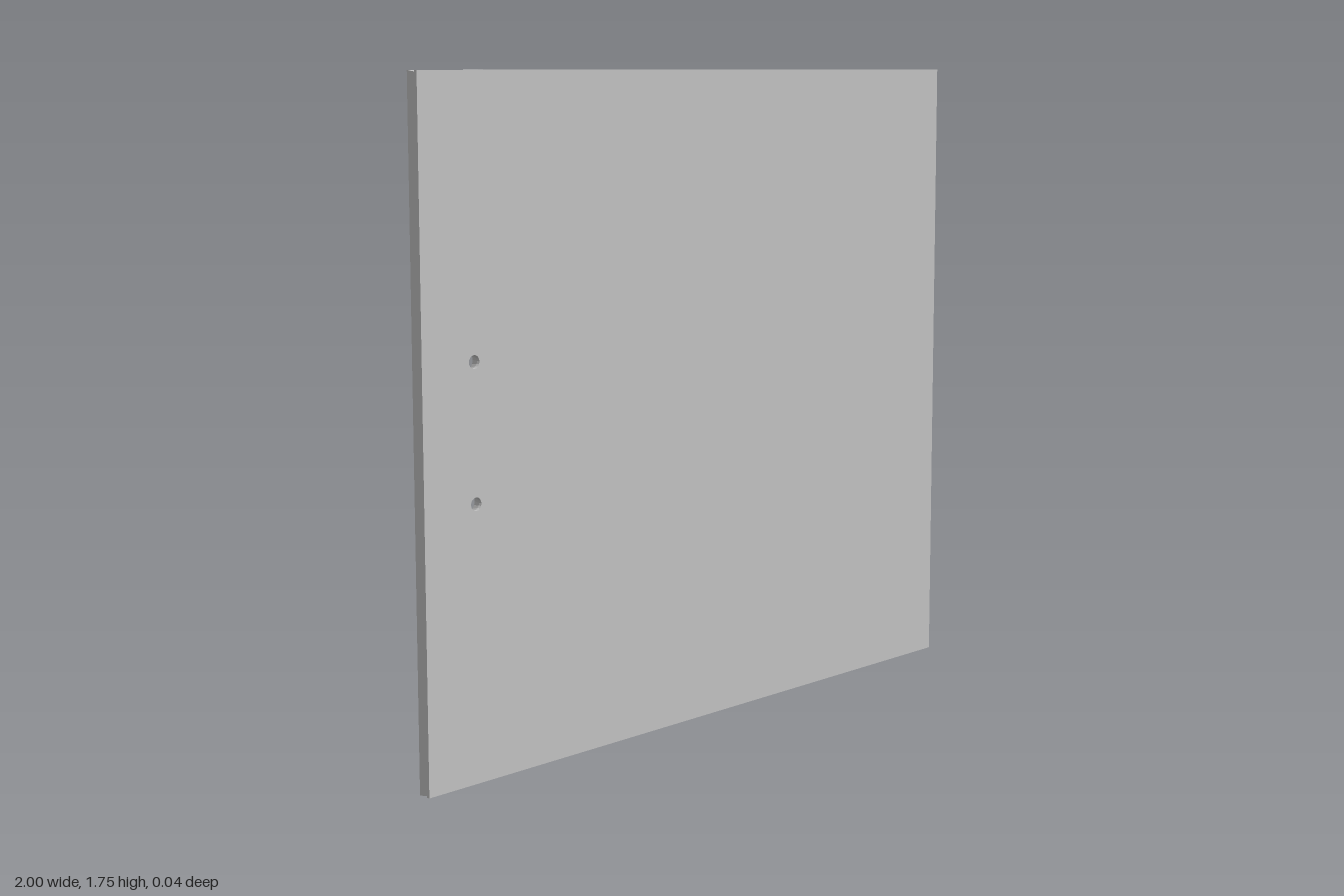
import * as THREE from 'three';

const H = 1.755, BACK = -0.0175, MID = 0.0085, FRONT = 0.0175;
const EDGE = 0.98; // where the slotted edge of the back layer ends
const POCKET = { x0: -0.765, x1: 0.852, y0: 0.02, y1: H - 0.02, cut: 0.045, inset: 0.033 };
const BOLTS = [0.705, 1.055].map(y => new THREE.Vector2(-0.835, y));

function rectPath(x, y, w, h) {
  return new THREE.Path([[-1, -1], [1, -1], [1, 1], [-1, 1]]
    .map(([a, b]) => new THREE.Vector2(x + a * w / 2, y + b * h / 2)));
}

function circlePath(c, r) {
  return new THREE.Path().absarc(c.x, c.y, r, 0, Math.PI * 2);
}

// Wide round top, narrow foot
function keyholePath(x, y) {
  const p = new THREE.Path();
  p.moveTo(x - 0.009, y - 0.04);
  p.lineTo(x + 0.009, y - 0.04);
  p.lineTo(x + 0.017, y + 0.015);
  p.absarc(x, y + 0.022, 0.017, 0, Math.PI);
  p.lineTo(x - 0.017, y + 0.015);
  p.closePath();
  return p;
}

function extrude(shape, z0, z1) {
  const g = new THREE.ExtrudeGeometry(shape, { depth: z1 - z0, bevelEnabled: false, curveSegments: 8 });
  return g.translate(0, 0, z0);
}

// Moves vertices by a rule and refreshes the flat normals
function reshape(geometry, rule) {
  const p = geometry.attributes.position, v = new THREE.Vector3();
  for (let i = 0; i < p.count; i++) {
    rule(v.fromBufferAttribute(p, i));
    p.setXYZ(i, v.x, v.y, v.z);
  }
  geometry.computeVertexNormals();
  return geometry;
}

export function createModel() {
  const group = new THREE.Group();
  const grey = new THREE.MeshStandardMaterial({ color: 0xc0c0c0 });
  grey.name = 'grey';
  const add = (name, geometry) => {
    const mesh = new THREE.Mesh(geometry, grey);
    mesh.name = name;
    group.add(mesh);
    return mesh;
  };
  const slots = Array.from({ length: 15 }, (_, i) => 0.102 + i * 0.1104);

  // Front plate with a slanted lip on the slotted side
  const face = new THREE.Shape([[-1, 0], [1, 0], [1, H], [-1, H]].map(a => new THREE.Vector2(...a)));
  face.holes.push(...BOLTS.map(b => circlePath(b, 0.017)));
  add('frontPlate', reshape(extrude(face, MID, FRONT), v => {
    if (v.x > 0.99 && v.z < 0.012) v.x = EDGE + 0.006;
  }));

  // Back layer outline with round-ended slots along one edge
  const r = 0.03, inner = 0.906;
  const frame = new THREE.Shape();
  frame.moveTo(-1, 0);
  frame.lineTo(EDGE, 0);
  for (const y of slots) {
    frame.lineTo(EDGE, y - r);
    frame.lineTo(inner + r, y - r);
    frame.absarc(inner + r, y, r, -Math.PI / 2, Math.PI / 2, true);
    frame.lineTo(EDGE, y + r);
  }
  frame.lineTo(EDGE, H);
  frame.lineTo(-1, H);
  frame.closePath();

  // Large pocket with clipped corners
  const { x0, x1, y0, y1, cut, inset } = POCKET;
  frame.holes.push(new THREE.Path([
    [x0 + cut, y0], [x1 - cut, y0], [x1, y0 + cut], [x1, y1 - cut],
    [x1 - cut, y1], [x0 + cut, y1], [x0, y1 - cut], [x0, y0 + cut],
  ].map(a => new THREE.Vector2(...a))));

  // Mounting recesses and bolt holes
  for (let i = 0; i < 8; i++) frame.holes.push(keyholePath(-0.906, 0.083 + i * 0.22));
  for (let i = 0; i < 4; i++) {
    const y = 0.206 + i * 0.441;
    frame.holes.push(rectPath(-0.879, y + 0.014, 0.022, 0.018), rectPath(-0.879, y - 0.014, 0.022, 0.018));
  }
  frame.holes.push(...BOLTS.map(b => circlePath(b, 0.026)));

  const cx = (x0 + x1) / 2, cy = (y0 + y1) / 2, hw = (x1 - x0) / 2, hh = (y1 - y0) / 2;
  add('backFrame', reshape(extrude(frame, BACK, MID), v => {
    if (v.z < 0) return;
    // Sloped pocket walls
    if (Math.abs(v.x - cx) < hw + 0.001 && Math.abs(v.y - cy) < hh + 0.001) {
      v.x = cx + (v.x - cx) * (1 - inset / hw);
      v.y = cy + (v.y - cy) * (1 - inset / hh);
    }
    // Countersunk bolt holes
    for (const b of BOLTS) {
      const d = Math.hypot(v.x - b.x, v.y - b.y);
      if (d < 0.027) {
        v.x = b.x + (v.x - b.x) * 0.017 / d;
        v.y = b.y + (v.y - b.y) * 0.017 / d;
        break;
      }
    }
    // Fine groove along top and bottom
    if (v.y < 0.001) v.y = 0.004;
    if (v.y > H - 0.001) v.y = H - 0.004;
  }));

  // Low rib inside every slot
  const rib = new THREE.BoxGeometry(0.052, 0.012, 0.016);
  for (const y of slots) add('slotRib', rib).position.set(0.952, y, 0.001);

  return group;
}
